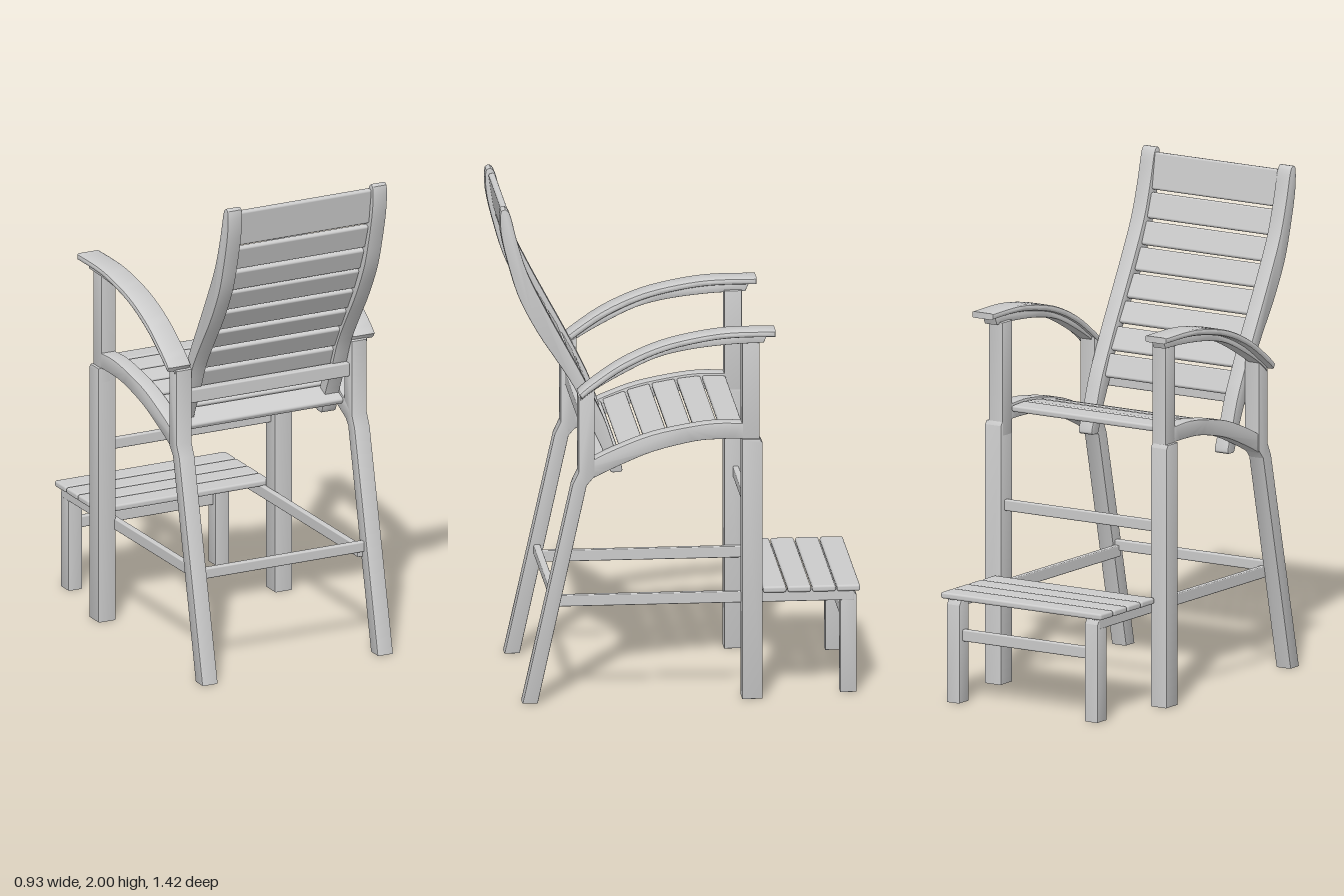
import * as THREE from 'three';
import { toCreasedNormals } from 'three/addons/utils/BufferGeometryUtils.js';
import { RoundedBoxGeometry } from 'three/addons/geometries/RoundedBoxGeometry.js';

const material = new THREE.MeshStandardMaterial({ color: 0xcccccc });
const v2 = ([z, y]) => new THREE.Vector2(z, y);

export function createModel() {
  const model = new THREE.Group();

  const add = (name, geometry) => {
    const mesh = new THREE.Mesh(geometry, material);
    mesh.name = name;
    model.add(mesh);
    return mesh;
  };

  // Softly rounded board given by its limits
  const board = (name, x0, x1, y0, y1, z0, z1, r = 0.006) => {
    const mesh = add(name, new RoundedBoxGeometry(x1 - x0, y1 - y0, z1 - z0, 2, r));
    mesh.position.set((x0 + x1) / 2, (y0 + y1) / 2, (z0 + z1) / 2);
    return mesh;
  };

  // Side profile of (z, y) points, extruded along x, on both sides of the chair
  const sidePair = (name, points, x0, x1, bevel = 0.004) => {
    const geometry = new THREE.ExtrudeGeometry(new THREE.Shape(points), {
      depth: x1 - x0 - 2 * bevel, bevelEnabled: true, bevelSize: bevel,
      bevelThickness: bevel, bevelOffset: -bevel, bevelSegments: 2,
    });
    geometry.rotateY(-Math.PI / 2);
    for (const side of [-1, 1]) {
      const start = side > 0 ? x1 : -x0;
      const g = toCreasedNormals(geometry.clone().translate(start - bevel, 0, 0), 0.6);
      add((side > 0 ? 'left' : 'right') + name, g);
    }
  };

  // Curved band between an upper and a lower spline
  const band = (upper, lower, n = 24) => [
    ...new THREE.SplineCurve(upper.map(v2)).getPoints(n),
    ...new THREE.SplineCurve(lower.map(v2)).getPoints(n).reverse(),
  ];

  // Slat centred on (z, y), tilted by the slope of its support
  const slat = (name, halfWidth, z, y, length, thickness, angle) => {
    const mesh = add(name, new RoundedBoxGeometry(halfWidth * 2, thickness, length, 2, 0.009));
    mesh.position.set(0, y, z);
    mesh.rotation.x = angle;
  };

  // Legs and posts
  sidePair('FrontLeg', [[-0.24, 0], [-0.32, 0], [-0.32, 1.045], [-0.31, 1.06], [-0.24, 1.06]].map(v2), 0.355, 0.432);
  sidePair('FrontPost', [[-0.24, 1.0], [-0.31, 1.0], [-0.31, 1.46], [-0.24, 1.46]].map(v2), 0.355, 0.42);
  sidePair('RearLeg', [[0.63, 0], [0.57, 0], [0.376, 0.884], [0.345, 0.92], [0.345, 1.285],
    [0.408, 1.245], [0.408, 0.94], [0.432, 0.89]].map(v2), 0.356, 0.425);

  // Arched seat rails
  const seatTop = [[0.39, 0.955], [0.344, 0.99], [0.243, 1.037], [0.11, 1.085], [-0.05, 1.116], [-0.153, 1.126], [-0.25, 1.122]];
  const seatLow = [[0.39, 0.888], [0.344, 0.915], [0.243, 0.963], [0.11, 1.016], [-0.05, 1.053], [-0.153, 1.06], [-0.25, 1.06]];
  sidePair('SeatRail', band(seatTop, seatLow), 0.356, 0.42);

  // Armrests with the supports beneath them
  const armTop = [[0.41, 1.265], [0.36, 1.307], [0.243, 1.386], [0.11, 1.447], [-0.02, 1.482], [-0.18, 1.505], [-0.37, 1.506]];
  const armLow = [[0.398, 1.245], [0.348, 1.283], [0.235, 1.359], [0.105, 1.42], [-0.02, 1.455], [-0.18, 1.479], [-0.37, 1.481]];
  const supportLow = [[0.4, 1.233], [0.344, 1.275], [0.243, 1.333], [0.11, 1.397], [-0.02, 1.429], [-0.18, 1.447], [-0.325, 1.452]];
  const supportTop = [[0.4, 1.25], [0.348, 1.29], [0.235, 1.365], [0.105, 1.425], [-0.02, 1.46], [-0.18, 1.485], [-0.34, 1.486]];
  sidePair('Armrest', band(armTop, armLow), 0.358, 0.463, 0.011);
  sidePair('ArmSupport', band(supportTop, supportLow), 0.37, 0.43);

  // Back rails
  const backRear = [[0.692, 2.0], [0.711, 1.985], [0.708, 1.894], [0.677, 1.762], [0.635, 1.63], [0.56, 1.487],
    [0.48, 1.365], [0.41, 1.25], [0.36, 1.127], [0.307, 1.01], [0.28, 0.93], [0.267, 0.917]];
  const backFront = [[0.69, 1.999], [0.672, 1.975], [0.645, 1.868], [0.603, 1.735], [0.54, 1.603], [0.47, 1.47],
    [0.4, 1.34], [0.34, 1.222], [0.296, 1.127], [0.26, 1.02], [0.229, 0.935], [0.237, 0.918]];
  sidePair('BackRail', band(backRear, backFront, 40), 0.291, 0.355);

  // Back slats along the middle line of the rails
  const backLine = new THREE.SplineCurve([[0.69, 2.0], [0.677, 1.88], [0.64, 1.75], [0.588, 1.617], [0.515, 1.478],
    [0.44, 1.352], [0.375, 1.236], [0.328, 1.127], [0.283, 1.015]].map(v2)).getPoints(200);
  const backZ = (y) => backLine.reduce((a, b) => (Math.abs(b.y - y) < Math.abs(a.y - y) ? b : a)).x;
  const backSlats = [[1.98, 1.833], [1.822, 1.723], [1.712, 1.623], [1.614, 1.527], [1.516, 1.427],
    [1.415, 1.336], [1.322, 1.235], [1.223, 1.135]];
  backSlats.forEach(([top, low], i) => {
    const dz = backZ(top) - backZ(low), dy = top - low;
    slat('backSlat' + (i + 1), 0.295, (backZ(top) + backZ(low)) / 2, (top + low) / 2,
      Math.hypot(dz, dy), 0.026, -Math.atan2(dy, dz));
  });

  // Seat slats following the rails
  const seatLine = new THREE.SplineCurve(seatTop.map(v2)).getPoints(200);
  const seatY = (z) => seatLine.reduce((a, b) => (Math.abs(b.x - z) < Math.abs(a.x - z) ? b : a)).y;
  const seatEdges = [-0.245, -0.146, -0.045, 0.054, 0.151, 0.247, 0.345];
  for (let i = 0; i < 6; i++) {
    const z0 = seatEdges[i], z1 = seatEdges[i + 1] - 0.007;
    const dy = seatY(z1) - seatY(z0);
    slat('seatSlat' + (i + 1), 0.357, (z0 + z1) / 2, (seatY(z0) + seatY(z1)) / 2 - 0.02,
      Math.hypot(z1 - z0, dy), 0.026, -Math.atan2(dy, z1 - z0));
  }

  // Cross bars
  board('backCrossbar', -0.357, 0.357, 1.095, 1.152, 0.356, 0.392);
  board('frontStretcher', -0.357, 0.357, 0.7, 0.745, -0.298, -0.274);
  board('rearStretcher', -0.36, 0.36, 0.4, 0.443, 0.488, 0.515);

  // Footrest: side rails, legs, brace and slats
  for (const side of [-1, 1]) {
    const label = side > 0 ? 'left' : 'right';
    const rail = board(label + 'LowerRail', -0.0125, 0.0125, 0.376, 0.422, -0.69, 0.5, 0.004);
    rail.position.x = side * 0.3475;
  }
  sidePair('FootrestLeg', [[-0.635, 0], [-0.7, 0], [-0.7, 0.395], [-0.685, 0.418], [-0.635, 0.418]].map(v2), 0.297, 0.359);
  board('footrestBrace', -0.3, 0.3, 0.248, 0.295, -0.68, -0.655);
  for (let i = 0; i < 4; i++) {
    const z = -0.712 + i * 0.0975;
    board('footrestSlat' + (i + 1), -0.381, 0.381, 0.417, 0.443, z, z + 0.092, 0.009);
  }

  return model;
}
